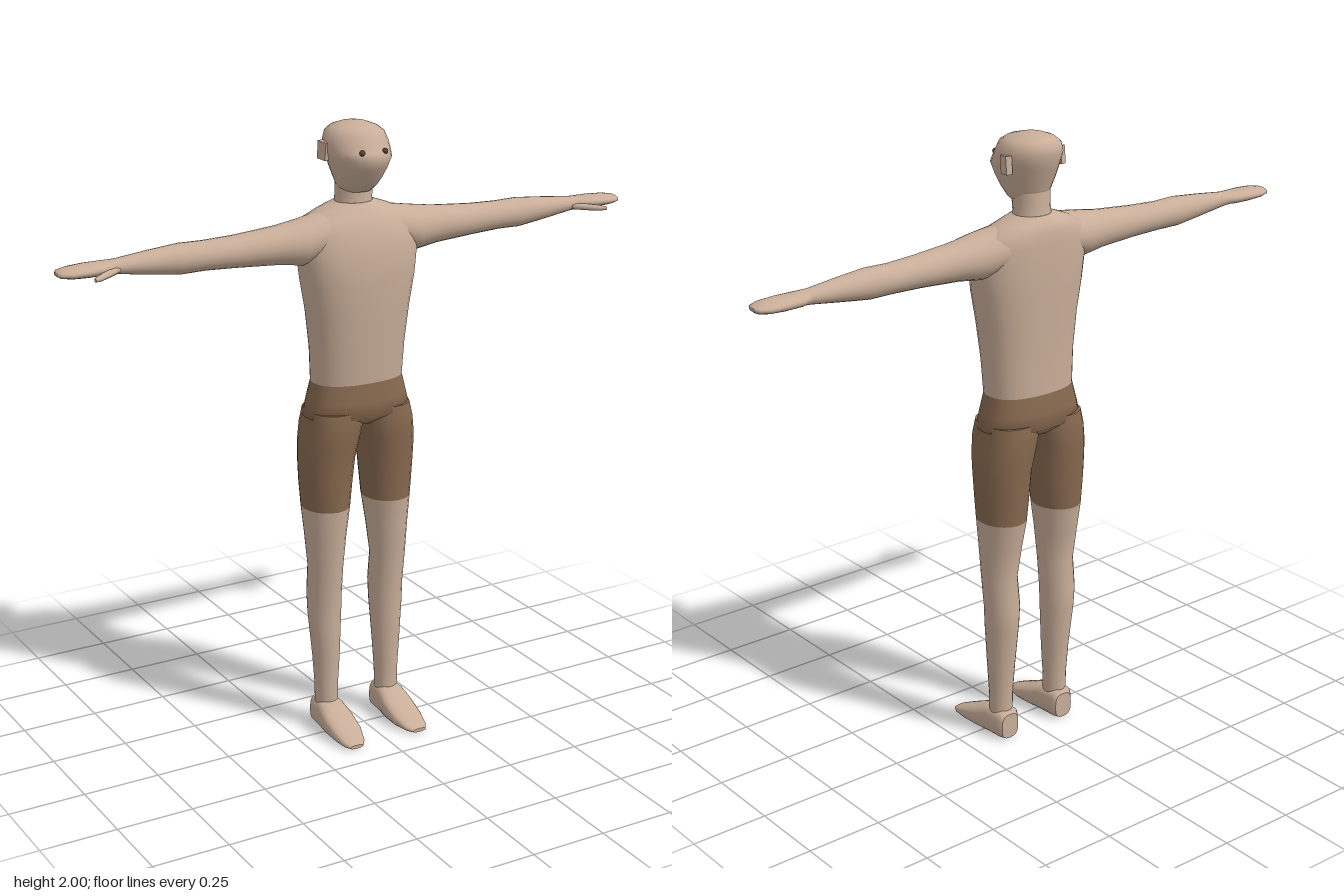
import * as THREE from 'three';

const material = (name, color) => {
  const m = new THREE.MeshStandardMaterial({ color });
  m.name = name;
  return m;
};

// Lofts a closed skin through rounded sections along one axis.
// Section: [t, aMin, aMax, bMin, bMax, power]; (a, b) is (x, z) for y, (y, z) for x, (x, y) for z.
function loft(sections, axis, side = 1, n = 20) {
  const place = {
    x: (t, a, b) => [side * t, a, b],
    y: (t, a, b) => [side * a, t, b],
    z: (t, a, b) => [side * a, b, t],
  }[axis];
  const pos = [], idx = [];
  const rising = sections[sections.length - 1][0] > sections[0][0];
  let flip = axis === 'y';
  if (!rising) flip = !flip;
  if (side < 0) flip = !flip;
  const tri = (a, b, c) => (flip ? idx.push(a, c, b) : idx.push(a, b, c));
  const round = (v, p) => Math.sign(v) * Math.pow(Math.abs(v), 2 / p);
  const ring = ([t, a0, a1, b0, b1, p = 2]) => {
    for (let i = 0; i < n; i++) {
      const w = (i / n) * Math.PI * 2;
      pos.push(...place(t,
        (a0 + a1) / 2 + ((a1 - a0) / 2) * round(Math.cos(w), p),
        (b0 + b1) / 2 + ((b1 - b0) / 2) * round(Math.sin(w), p)));
    }
  };
  sections.forEach(ring);
  for (let k = 0; k < sections.length - 1; k++) {
    for (let i = 0; i < n; i++) {
      const j = (i + 1) % n, lo = k * n, hi = lo + n;
      tri(lo + i, lo + j, hi + j);
      tri(lo + i, hi + j, hi + i);
    }
  }
  // End caps keep their own vertices so the rims stay crisp
  [sections[0], sections[sections.length - 1]].forEach((s, end) => {
    const base = pos.length / 3;
    ring(s);
    pos.push(...place(s[0], (s[1] + s[2]) / 2, (s[3] + s[4]) / 2));
    for (let i = 0; i < n; i++) {
      const j = (i + 1) % n;
      if (end) tri(base + i, base + j, base + n);
      else tri(base + j, base + i, base + n);
    }
  });
  const g = new THREE.BufferGeometry();
  g.setAttribute('position', new THREE.Float32BufferAttribute(pos, 3));
  g.setIndex(idx);
  g.computeVertexNormals();
  return g;
}

// Section symmetric about x = 0
const mid = (y, half, back, front, p) => [y, -half, half, back, front, p];

export function createModel() {
  const skin = material('skin', 0xc9ae99);
  const cloth = material('shorts brown', 0x87694f);
  const eyeDark = material('eye dark', 0x5a4336);

  const model = new THREE.Group();
  model.name = 'figure';
  const add = (name, geometry, mat, parent = model) => {
    const mesh = new THREE.Mesh(geometry, mat);
    mesh.name = name;
    parent.add(mesh);
    return mesh;
  };

  // Trunk
  add('torso', loft([
    mid(1.19, 0.153, -0.142, 0.045, 2.4),
    mid(1.3, 0.158, -0.143, 0.055, 2.4),
    mid(1.42, 0.172, -0.148, 0.066, 2.4),
    mid(1.52, 0.19, -0.153, 0.072, 2.4),
    mid(1.6, 0.2, -0.155, 0.07, 2.4),
    mid(1.67, 0.197, -0.155, 0.053, 2.3),
    mid(1.71, 0.178, -0.152, 0.03, 2.2),
    mid(1.735, 0.12, -0.142, 0.01),
    mid(1.755, 0.065, -0.122, -0.008),
  ], 'y', 1, 28), skin);
  add('neck', loft([
    mid(1.72, 0.072, -0.128, 0.0),
    mid(1.76, 0.06, -0.12, -0.01),
    mid(1.8, 0.06, -0.117, -0.005),
    mid(1.85, 0.062, -0.115, -0.01),
  ], 'y'), skin);

  // Head, pointed forward at nose level
  const head = new THREE.Group();
  head.name = 'head';
  model.add(head);
  add('skull', loft([
    mid(1.79, 0.045, -0.09, 0.0),
    mid(1.805, 0.062, -0.107, 0.018),
    mid(1.835, 0.076, -0.12, 0.045),
    mid(1.87, 0.09, -0.133, 0.066),
    mid(1.9, 0.097, -0.146, 0.084),
    mid(1.92, 0.1, -0.152, 0.07),
    mid(1.945, 0.1, -0.158, 0.053),
    mid(1.97, 0.09, -0.157, 0.043),
    mid(1.985, 0.072, -0.14, 0.02),
    mid(1.996, 0.042, -0.108, -0.02),
    mid(2.0, 0.01, -0.07, -0.05),
  ], 'y', 1, 24), skin, head);

  // Hips
  add('shortsHips', loft([
    mid(1.19, 0.153, -0.142, 0.045, 2.4),
    mid(1.13, 0.167, -0.151, 0.053, 2.5),
    mid(1.08, 0.179, -0.156, 0.057, 2.5),
    mid(1.05, 0.12, -0.12, 0.02),
  ], 'y', 1, 28), cloth);

  for (const side of [1, -1]) {
    const label = side > 0 ? 'left' : 'right';

    // Face details
    const ear = add(label + 'Ear', new THREE.BoxGeometry(0.02, 0.056, 0.038), skin, head);
    ear.position.set(side * 0.1, 1.917, -0.068);
    ear.rotation.set(0.1, -side * 0.2, 0);
    const eye = add(label + 'Eye', new THREE.SphereGeometry(0.009, 12, 8), eyeDark, head);
    eye.position.set(side * 0.04, 1.924, 0.061);

    // Arm, hand and thumb
    add(label + 'Arm', loft([
      [0.1, 1.6, 1.735, -0.14, 0.03],
      [0.2, 1.577, 1.72, -0.122, 0.03],
      [0.28, 1.588, 1.708, -0.108, 0.012],
      [0.42, 1.597, 1.696, -0.102, 0.002],
      [0.52, 1.601, 1.692, -0.102, -0.006],
      [0.6, 1.6, 1.694, -0.1, -0.006],
      [0.7, 1.613, 1.685, -0.092, -0.015],
      [0.8, 1.627, 1.674, -0.083, -0.026],
      [0.84, 1.631, 1.672, -0.089, -0.02],
    ], 'x', side), skin);
    add(label + 'Hand', loft([
      [0.8, 1.632, 1.672, -0.08, -0.03],
      [0.84, 1.63, 1.672, -0.096, -0.016],
      [0.9, 1.63, 1.671, -0.101, -0.01],
      [0.95, 1.633, 1.667, -0.1, -0.01],
      [0.98, 1.638, 1.662, -0.089, -0.021],
      [0.99, 1.645, 1.655, -0.07, -0.04],
    ], 'x', side), skin);
    add(label + 'Thumb', loft([
      [0.8, 1.635, 1.655, -0.05, -0.025],
      [0.84, 1.631, 1.653, -0.032, 0.0],
      [0.88, 1.629, 1.648, -0.006, 0.02],
      [0.9, 1.632, 1.644, 0.012, 0.028],
    ], 'x', side, 12), skin);

    // Leg with its half of the shorts
    add(label + 'ShortsLeg', loft([
      [1.1, -0.005, 0.173, -0.15, 0.05, 2.5],
      [1.05, 0.0, 0.184, -0.157, 0.057, 2.4],
      [0.99, 0.008, 0.195, -0.153, 0.05, 2.2],
      [0.94, 0.016, 0.199, -0.15, 0.044],
      [0.86, 0.025, 0.195, -0.147, 0.038],
      [0.775, 0.034, 0.188, -0.142, 0.034],
    ], 'y', side), cloth);
    add(label + 'Leg', loft([
      [0.775, 0.034, 0.188, -0.142, 0.034],
      [0.68, 0.047, 0.18, -0.126, 0.024],
      [0.57, 0.058, 0.173, -0.108, 0.013],
      [0.47, 0.058, 0.171, -0.121, 0.002],
      [0.4, 0.06, 0.169, -0.116, -0.001],
      [0.25, 0.068, 0.158, -0.098, -0.006],
      [0.15, 0.074, 0.152, -0.09, -0.012],
      [0.08, 0.075, 0.151, -0.089, -0.012],
    ], 'y', side), skin);
    add(label + 'Foot', loft([
      [-0.099, 0.08, 0.146, 0, 0.085, 3],
      [-0.085, 0.07, 0.156, 0, 0.1, 3],
      [-0.02, 0.065, 0.162, 0, 0.098, 3],
      [0.03, 0.058, 0.168, 0, 0.075, 2.8],
      [0.09, 0.062, 0.165, 0, 0.047, 2.8],
      [0.14, 0.078, 0.155, 0, 0.024, 2.6],
      [0.162, 0.095, 0.142, 0.002, 0.014, 2.4],
    ], 'z', side), skin);
  }
  return model;
}
